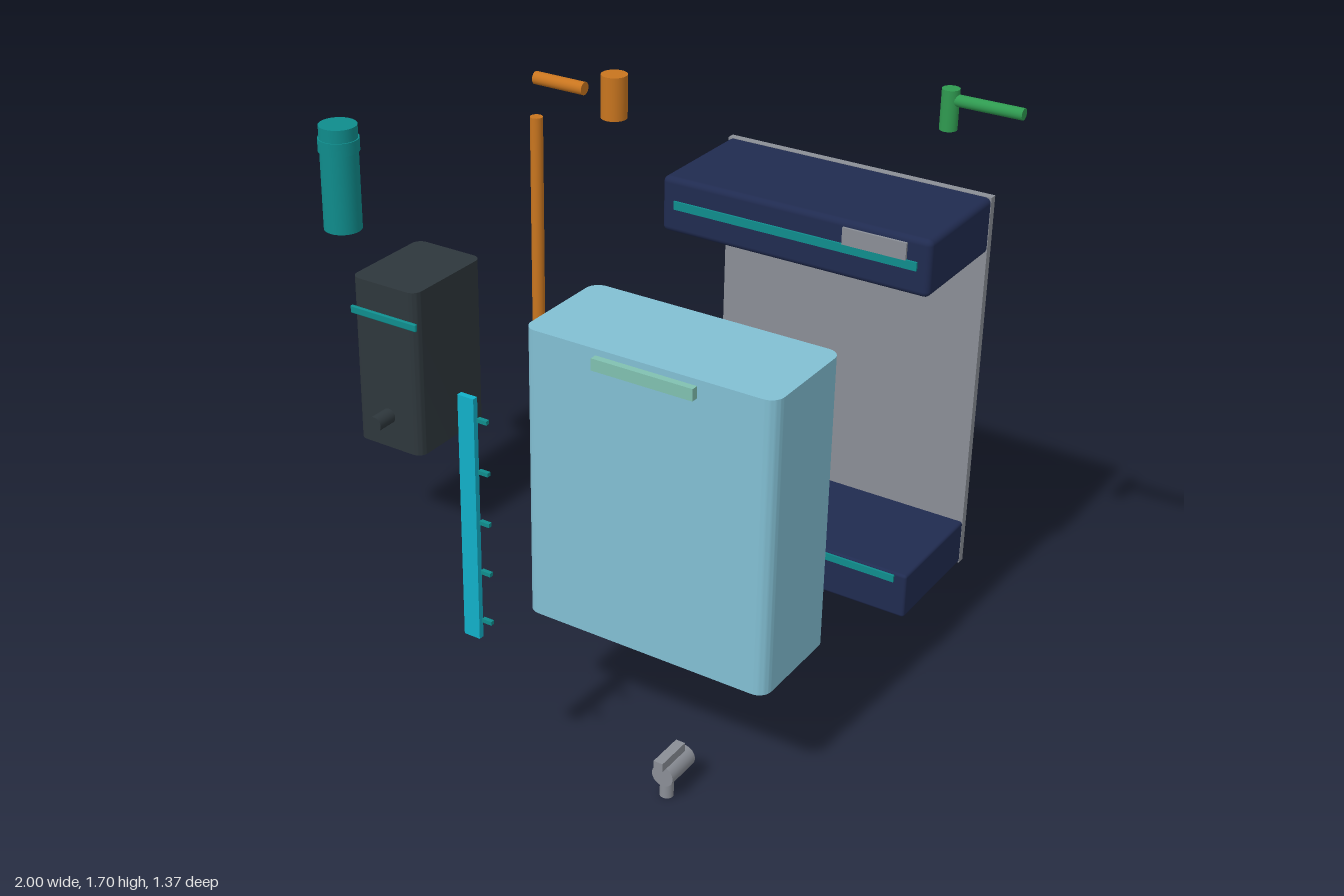
import * as THREE from 'three';
import { RoundedBoxGeometry } from 'three/addons/geometries/RoundedBoxGeometry.js';
import { toCreasedNormals } from 'three/addons/utils/BufferGeometryUtils.js';

function material(name, color) {
  const m = new THREE.MeshStandardMaterial({ color });
  m.name = name;
  return m;
}

// Rounded rectangle outline centred on the origin
function roundedRect(w, h, r) {
  const s = new THREE.Shape();
  const x = w / 2, y = h / 2, q = Math.PI / 2;
  s.absarc(x - r, y - r, r, 0, q);
  s.absarc(-x + r, y - r, r, q, 2 * q);
  s.absarc(-x + r, -y + r, r, 2 * q, 3 * q);
  s.absarc(x - r, -y + r, r, 3 * q, 4 * q);
  s.closePath();
  return s;
}

export function createModel() {
  const model = new THREE.Group();
  model.name = 'explodedWaterDispenser';
  const navy = material('navy', 0x202b50);
  const grey = material('grey', 0x8a8e96);
  const water = material('pale blue', 0x82bfd3);
  const mint = material('mint', 0x80c0b0);
  const charcoal = material('charcoal', 0x2e373c);
  const teal = material('teal', 0x0f8c8c);
  const cyan = material('cyan', 0x12b0c8);
  const orange = material('orange', 0xc8751f);
  const green = material('green', 0x2f9a50);

  const add = (name, geometry, mat, x, y, z, parent = model) => {
    const mesh = new THREE.Mesh(geometry, mat);
    mesh.name = name;
    mesh.position.set(x, y, z);
    parent.add(mesh);
    return mesh;
  };
  const group = (name) => {
    const g = new THREE.Group();
    g.name = name;
    model.add(g);
    return g;
  };
  // Box given by its limits on each axis
  const box = (name, mat, [x0, x1], [y0, y1], [z0, z1], parent, r = 0) => {
    const d = [x1 - x0, y1 - y0, z1 - z0];
    const geo = r ? new RoundedBoxGeometry(...d, 3, r) : new THREE.BoxGeometry(...d);
    return add(name, geo, mat, (x0 + x1) / 2, (y0 + y1) / 2, (z0 + z1) / 2, parent);
  };
  // Cylinder running along a chosen axis
  const rod = (name, mat, axis, r, length, x, y, z, parent) => {
    const geo = new THREE.CylinderGeometry(r, r, length, 32);
    if (axis === 'x') geo.rotateZ(Math.PI / 2);
    if (axis === 'z') geo.rotateX(Math.PI / 2);
    return add(name, geo, mat, x, y, z, parent);
  };
  // Upright block with rounded vertical edges
  const block = (name, mat, [x0, x1], [y0, y1], [z0, z1], r, parent) => {
    const geo = new THREE.ExtrudeGeometry(roundedRect(x1 - x0, z1 - z0, r),
      { depth: y1 - y0, bevelEnabled: false, curveSegments: 8 });
    geo.rotateX(-Math.PI / 2);
    return add(name, toCreasedNormals(geo, 0.6), mat, (x0 + x1) / 2, y0, (z0 + z1) / 2, parent);
  };

  // Housing: head, base and back panel
  const housing = group('housing');
  box('head', navy, [0.001, 0.774], [1.13, 1.284], [-0.674, -0.325], housing, 0.016);
  box('base', navy, [0.001, 0.774], [0.201, 0.33], [-0.674, -0.325], housing, 0.008);
  box('backPanel', grey, [0, 0.775], [0.2, 1.285], [-0.684, -0.662], housing);
  box('headStripe', teal, [0.04, 0.74], [1.2, 1.223], [-0.327, -0.319], housing);
  box('baseStripe', teal, [0.04, 0.74], [0.304, 0.324], [-0.327, -0.319], housing);
  box('displayPanel', grey, [0.533, 0.71], [1.222, 1.268], [-0.327, -0.318], housing);

  // Water tank with its grip
  const tank = group('waterTank');
  block('tankBody', water, [0.04, 0.738], [0.33, 1.13], [0.048, 0.355], 0.036, tank);
  box('tankGrip', mint, [0.25, 0.53], [1.081, 1.113], [0.35, 0.374], tank);

  // Level gauge and its marks
  const gauge = group('levelGauge');
  box('gaugeStrip', cyan, [0.095, 0.14], [0.46, 1.107], [0.67, 0.685], gauge);
  for (let i = 0; i < 5; i++) {
    const y = 0.514 + i * 0.135;
    box('gaugeMark', teal, [0.147, 0.174], [y - 0.005, y + 0.005], [0.672, 0.683], gauge);
  }

  // Tap
  const tap = group('tap');
  rod('tapBarrel', grey, 'z', 0.03, 0.105, 0.518, 0.07, 0.403, tap);
  rod('tapSpout', grey, 'y', 0.0175, 0.06, 0.518, 0.03, 0.433, tap);
  box('tapLever', grey, [0.505, 0.531], [0.1, 0.124], [0.372, 0.476], tap);

  // Pump unit with band and outlet
  const pump = group('pumpUnit');
  block('pumpBody', charcoal, [-0.904, -0.673], [0.33, 0.846], [-0.428, -0.118], 0.03, pump);
  box('pumpBand', teal, [-0.905, -0.67], [0.733, 0.757], [-0.121, -0.11], pump, 0.004);
  rod('pumpOutlet', charcoal, 'z', 0.023, 0.08, -0.787, 0.433, -0.092, pump);

  // Filter cartridge
  const filter = group('filterCartridge');
  rod('cartridgeBody', teal, 'y', 0.055, 0.31, -0.943, 1.13, -0.144, filter);
  rod('cartridgeCollar', teal, 'y', 0.059, 0.038, -0.943, 1.228, -0.144, filter);

  // Feed pipe and valve
  const pipe = group('feedPipe');
  rod('uprightPipe', orange, 'y', 0.0175, 0.878, -0.361, 0.949, -0.272, pipe);
  rod('crossPipe', orange, 'x', 0.0175, 0.155, -0.284, 1.496, -0.272, pipe);
  rod('valve', orange, 'y', 0.035, 0.117, -0.115, 1.495, -0.272, pipe);

  // Inlet elbow
  const inlet = group('inletElbow');
  rod('inletStem', green, 'y', 0.0215, 0.1, 0.816, 1.65, -0.272, inlet);
  rod('inletArm', green, 'x', 0.0145, 0.184, 0.908, 1.674, -0.272, inlet);

  return model;
}
